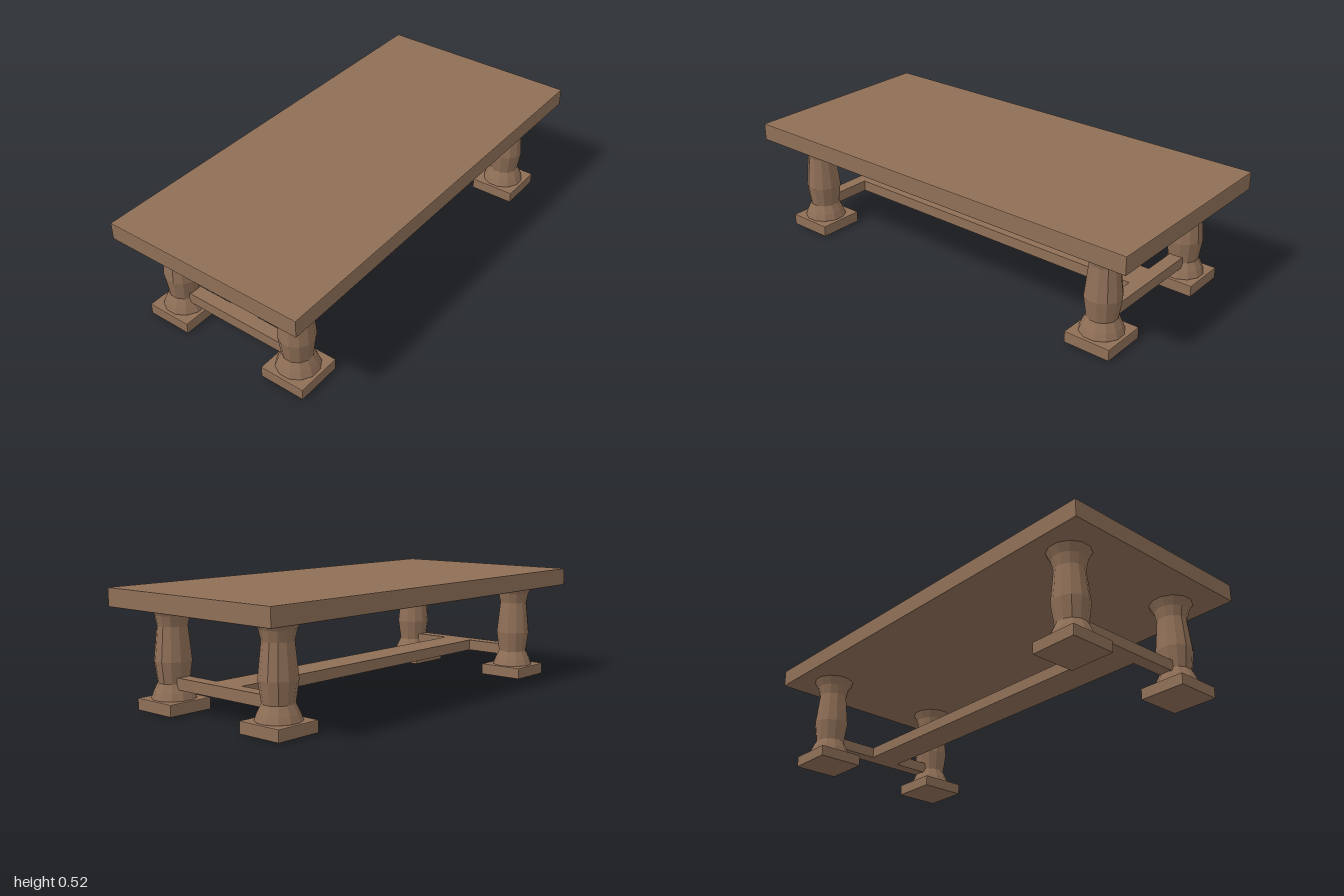
import * as THREE from 'three';
import { RoundedBoxGeometry } from 'three/addons/geometries/RoundedBoxGeometry.js';

export function createModel() {
  const group = new THREE.Group();
  group.name = 'table';

  const wood = new THREE.MeshStandardMaterial({ color: 0x8f6f57 });
  wood.name = 'brown wood';
  wood.flatShading = true;

  const add = (name, geometry, x, y, z) => {
    const mesh = new THREE.Mesh(geometry, wood);
    mesh.name = name;
    mesh.position.set(x, y, z);
    group.add(mesh);
  };

  // Table top with slightly eased edges
  add('tableTop', new RoundedBoxGeometry(0.95, 0.08, 2, 1, 0.004), 0, 0.48, 0);

  // Turned twelve-sided leg: [radius, height]
  const profile = [
    [0.094, 0.05], [0.094, 0.058], [0.084, 0.085], [0.066, 0.122],
    [0.079, 0.215], [0.064, 0.36], [0.074, 0.405], [0.094, 0.442],
  ].map(([r, y]) => new THREE.Vector2(r, y));
  const legGeometry = new THREE.LatheGeometry(profile, 12, Math.PI / 12);
  const footGeometry = new RoundedBoxGeometry(0.213, 0.052, 0.213, 1, 0.004);

  // Four legs on square feet
  for (const [end, z] of [['front', 0.805], ['back', -0.805]]) {
    for (const [side, x] of [['Left', 0.31], ['Right', -0.31]]) {
      add(`${end}${side}Leg`, legGeometry, x, 0, z);
      add(`${end}${side}Foot`, footGeometry, x, 0.029, z);
    }
    // Crossbar joining each pair of legs
    add(`${end}Crossbar`, new THREE.BoxGeometry(0.56, 0.05, 0.06), 0, 0.125, z);
  }

  // Long stretcher between the crossbars
  add('stretcher', new THREE.BoxGeometry(0.15, 0.05, 1.55), 0, 0.125, 0);

  return group;
}
